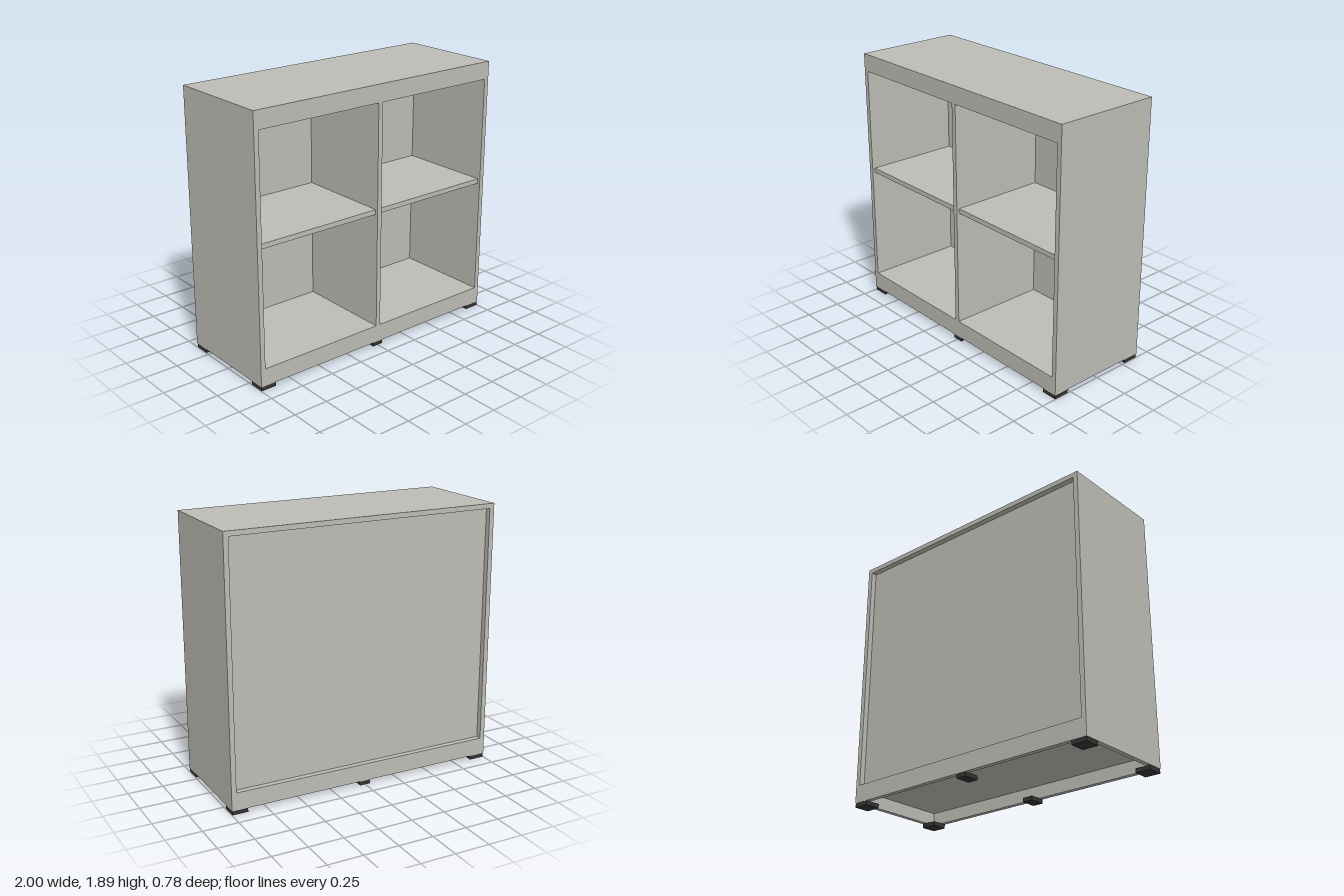
import * as THREE from 'three';

export function createModel() {
  const group = new THREE.Group();
  const board = new THREE.MeshStandardMaterial({ color: 0xbdbcb5 });
  board.name = 'greyBoard';
  const rubber = new THREE.MeshStandardMaterial({ color: 0x333333 });
  rubber.name = 'darkFoot';

  // Box given by its limits on each axis
  function box(name, [x0, x1], [y0, y1], [z0, z1], material = board) {
    const mesh = new THREE.Mesh(new THREE.BoxGeometry(x1 - x0, y1 - y0, z1 - z0), material);
    mesh.position.set((x0 + x1) / 2, (y0 + y1) / 2, (z0 + z1) / 2);
    mesh.name = name;
    group.add(mesh);
  }

  const t = 0.035; // board thickness
  const D = 0.39; // half depth
  const inner = 1 - t; // inside face of the sides
  const half = t / 2; // half of the divider
  const foot = 0.03, under = 1.853, top = 1.888;
  const floor = 0.155;
  const backFront = -0.33, backRear = -0.35;

  // Carcass
  box('topPanel', [-1, 1], [under, top], [-D, D]);
  box('rightSide', [-1, -inner], [foot, under], [-D, D]);
  box('leftSide', [inner, 1], [foot, under], [-D, D]);
  box('bottomPanel', [-inner, inner], [floor - t, floor], [-D, D]);
  box('divider', [-half, half], [floor, under], [backFront, D]);
  box('backPanel', [-inner, inner], [floor, under], [backRear, backFront]);

  // Plinth boards
  box('frontPlinth', [-inner, inner], [foot, floor - t], [D - t, D]);
  box('backPlinth', [-inner, inner], [foot, floor - t], [-D, -D + t]);

  // Shelf and top rail of each bay
  for (const [side, x] of [['right', [-inner, -half]], ['left', [half, inner]]]) {
    box(side + 'Shelf', x, [0.985, 0.985 + t], [backFront, D - 0.02]);
    box(side + 'TopRail', x, [1.763, under], [D - t, D]);
  }

  // Feet: corners and middle, front and back
  for (const z of [[0.275, 0.388], [-0.388, -0.275]]) {
    for (const x of [[-0.997, -0.885], [-0.04, 0.04], [0.885, 0.997]]) {
      box('foot', x, [0, foot], z, rubber);
    }
  }
  return group;
}
